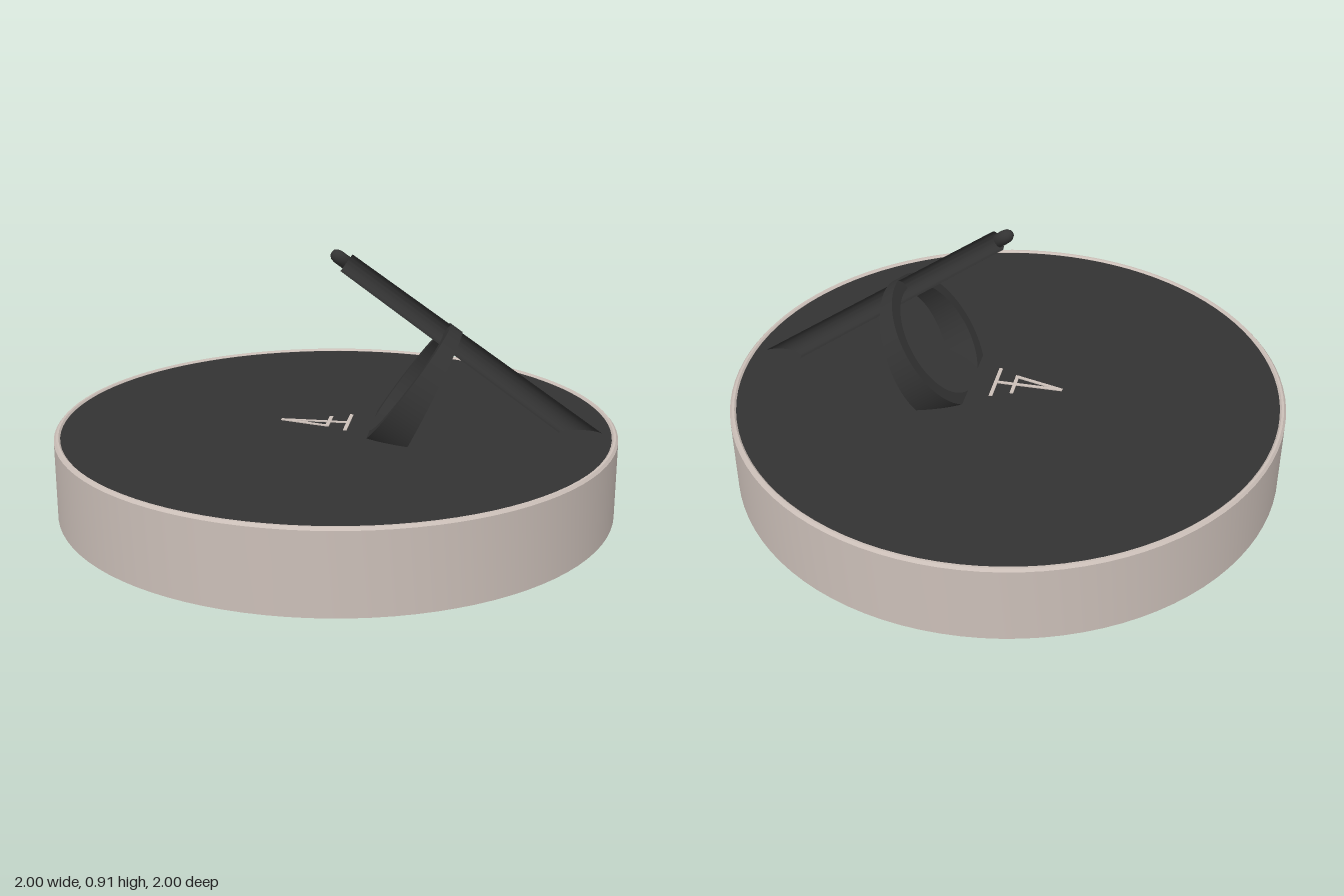
import * as THREE from 'three';
import { toCreasedNormals } from 'three/addons/utils/BufferGeometryUtils.js';

export function createModel() {
  const model = new THREE.Group();
  const stone = new THREE.MeshStandardMaterial({ color: 0xcbbfb8 });
  stone.name = 'warm stone';
  const dark = new THREE.MeshStandardMaterial({ color: 0x333333 });
  dark.name = 'charcoal';

  const add = (name, geometry, material, parent = model) => {
    const mesh = new THREE.Mesh(geometry, material);
    mesh.name = name;
    parent.add(mesh);
    return mesh;
  };

  // Hollow round wall with small bevels on its top edge
  const wall = [[0.978, 0], [1, 0], [1, 0.279], [0.992, 0.288], [0.984, 0.288], [0.978, 0.282], [0.978, 0]]
    .map(([r, y]) => new THREE.Vector2(r, y));
  add('baseWall', toCreasedNormals(new THREE.LatheGeometry(wall, 96), 0.5), stone);

  // Thin dial plate set just below the rim
  add('dialPlate', new THREE.CylinderGeometry(0.98, 0.98, 0.015, 96).translate(0, 0.2735, 0), dark);

  // Slanted frame shared by the rod and the hoop
  const rodTop = new THREE.Vector3(0.037, 0.868, 0);
  const rodEnd = new THREE.Vector3(0.868, 0.285, 0);
  const axis = rodEnd.clone().sub(rodTop).normalize();
  const up = new THREE.Vector3(-axis.y, axis.x, 0);
  const side = new THREE.Vector3(0, 0, -1);

  // Pointer rod, its foot sheared level with the plate
  const length = rodTop.distanceTo(rodEnd);
  const rod = new THREE.CylinderGeometry(0.044, 0.036, length, 32);
  rod.translate(0, length / 2, 0);
  rod.applyMatrix4(new THREE.Matrix4().makeBasis(up, axis, side.clone().negate()).setPosition(rodTop));
  const p = rod.attributes.position;
  const v = new THREE.Vector3();
  for (let i = 0; i < p.count; i++) {
    v.fromBufferAttribute(p, i);
    if (v.clone().sub(rodTop).dot(axis) > length * 0.9) {
      v.addScaledVector(axis, (0.275 - v.y) / axis.y);
      p.setXYZ(i, v.x, v.y, v.z);
    }
  }
  add('pointerRod', toCreasedNormals(rod, 0.6), dark);

  // Small rounded nib on the rod's upper end
  const nib = [[0, 0], [0.024, 0], [0.024, 0.035], [0.021, 0.05], [0.012, 0.061], [0, 0.064]]
    .map(([r, y]) => new THREE.Vector2(r, y));
  const tip = add('rodTip', new THREE.LatheGeometry(nib, 24), dark);
  tip.position.copy(rodTop);
  tip.quaternion.setFromUnitVectors(new THREE.Vector3(0, 1, 0), axis.clone().negate());

  // Hoop square to the rod, widening toward its buried lower side
  const R = 0.26;
  const ring = new THREE.Shape().absarc(0, 0, R, 0, Math.PI * 2);
  ring.holes.push(new THREE.Path().absarc(0, 0, 0.215, 0, Math.PI * 2, true));
  const hoop = new THREE.ExtrudeGeometry(ring, { depth: 1, bevelEnabled: false, curveSegments: 64 });
  const h = hoop.attributes.position;
  for (let i = 0; i < h.count; i++) {
    const drop = R - h.getY(i);
    h.setZ(i, h.getZ(i) > 0.5 ? 0.05 + 0.17 * drop : -0.02 * drop);
  }
  hoop.applyMatrix4(new THREE.Matrix4().makeBasis(side, up, axis).setPosition(0.256, 0.442, 0));
  add('supportHoop', toCreasedNormals(hoop, 0.6), dark);

  // Pointer mark of narrow bars let through the plate: [x1, z1, x2, z2]
  const mark = new THREE.Group();
  mark.name = 'pointerMark';
  model.add(mark);
  for (const [x1, z1, x2, z2] of [
    [-0.2, 0, 0.05, 0],
    [-0.2, 0, -0.025, 0.048],
    [-0.025, -0.058, -0.025, 0.055],
    [0.045, -0.09, 0.045, 0.088],
  ]) {
    const bar = add('markBar', new THREE.BoxGeometry(Math.hypot(x2 - x1, z2 - z1), 0.022, 0.013), stone, mark);
    bar.position.set((x1 + x2) / 2, 0.2735, (z1 + z2) / 2);
    bar.rotation.y = -Math.atan2(z2 - z1, x2 - x1);
  }
  return model;
}
